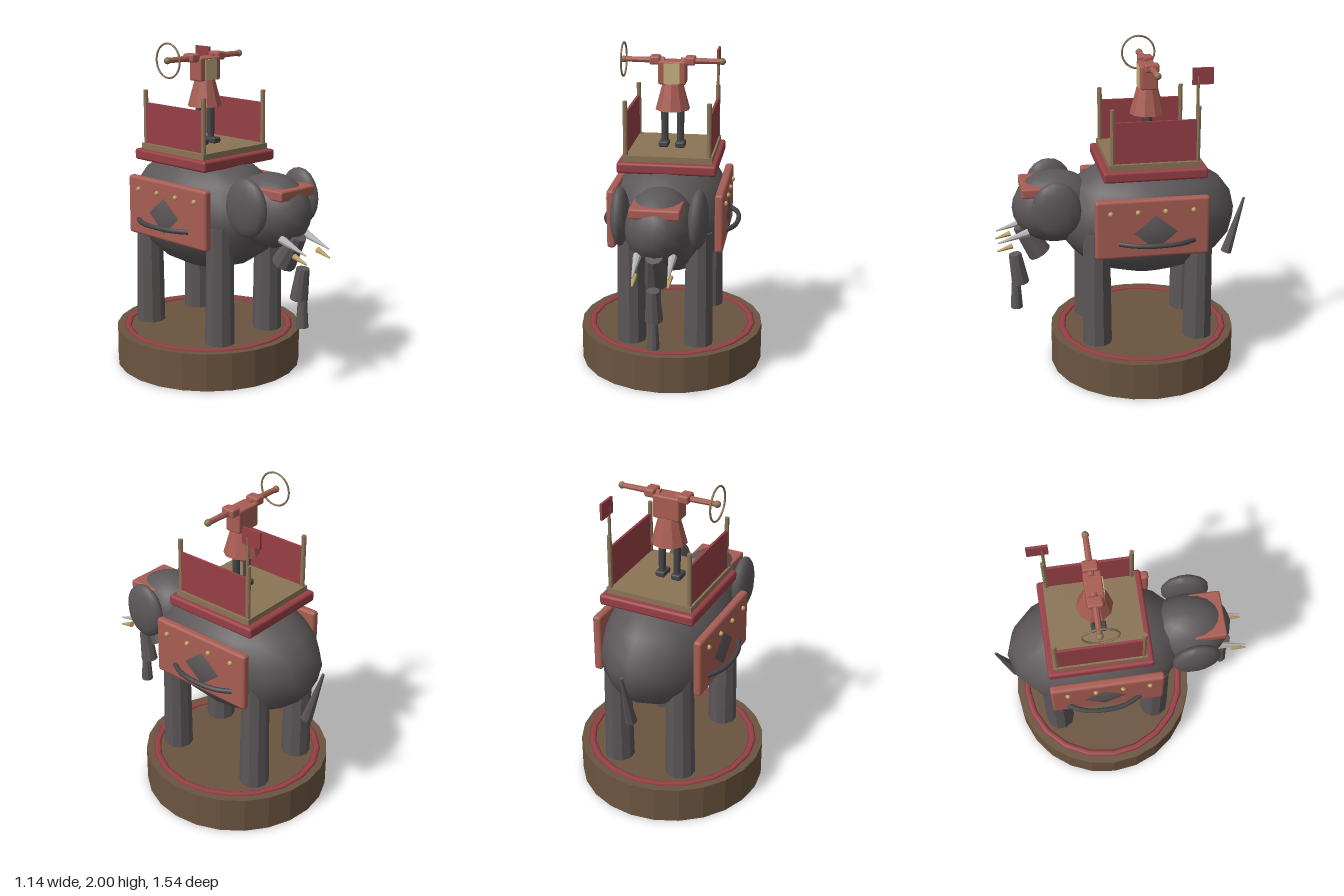
import * as THREE from 'three';
import { RoundedBoxGeometry } from 'three/addons/geometries/RoundedBoxGeometry.js';

const mat = (name, color, flatShading = false) => {
  const m = new THREE.MeshStandardMaterial({ color, flatShading });
  m.name = name;
  return m;
};

export function createModel() {
  const hide = mat('hide grey', 0x5c5758);
  const salmon = mat('salmon cloth', 0xa85d53);
  const red = mat('deep red', 0x963f45);
  const baseWood = mat('base wood', 0x6b543f);
  const paleWood = mat('pale wood', 0x8b7456);
  const dark = mat('dark iron', 0x454446);
  const silver = mat('silver', 0xb4b4b4);
  const gold = mat('gold', 0xbfa162);
  const cream = mat('cream', 0xc6b082);

  const model = new THREE.Group();
  const add = (name, geometry, material, x = 0, y = 0, z = 0) => {
    const m = new THREE.Mesh(geometry, material);
    m.name = name;
    m.position.set(x, y, z);
    model.add(m);
    return m;
  };
  const ball = (name, material, pos, radii, w = 16, h = 10) => {
    const m = add(name, new THREE.SphereGeometry(1, w, h), material, ...pos);
    m.scale.set(...radii);
    return m;
  };
  const box = (name, material, pos, size) => add(name, new THREE.BoxGeometry(...size), material, ...pos);
  const pad = (name, material, pos, size, r = 0.012) =>
    add(name, new RoundedBoxGeometry(...size, 2, r), material, ...pos);
  // Faceted tapered cylinder from point a (radius ra) to point b (radius rb)
  const rod = (name, material, a, b, ra, rb = ra, sides = 10) => {
    const A = new THREE.Vector3(...a), B = new THREE.Vector3(...b);
    const axis = A.clone().sub(B);
    const g = new THREE.CylinderGeometry(ra, rb, axis.length(), sides).toNonIndexed();
    g.computeVertexNormals();
    const m = add(name, g, material);
    m.position.copy(A).add(B).multiplyScalar(0.5);
    m.quaternion.setFromUnitVectors(new THREE.Vector3(0, 1, 0), axis.normalize());
    return m;
  };

  // Round plinth with a low inlaid ring
  rod('plinth', baseWood, [0, 0.23, -0.12], [0, 0, -0.12], 0.57, 0.57, 24);
  const ring = add('plinthRing', new THREE.TorusGeometry(0.505, 0.022, 6, 20), red, 0, 0.23, -0.12);
  ring.rotation.x = -Math.PI / 2;
  ring.scale.z = 0.4;

  // Elephant body and head
  ball('body', hide, [0, 0.975, -0.14], [0.365, 0.365, 0.55]);
  ball('head', hide, [0, 1.05, 0.41], [0.2, 0.22, 0.26], 16, 12);
  pad('foreheadPad', salmon, [0, 1.18, 0.52], [0.29, 0.06, 0.195]);

  // Trunk in three loose segments, and tail
  rod('trunkUpper', hide, [0, 0.935, 0.62], [0, 0.75, 0.51], 0.05, 0.073);
  rod('trunkMiddle', hide, [0, 0.75, 0.66], [0, 0.56, 0.632], 0.038, 0.053);
  rod('trunkTip', hide, [0, 0.56, 0.66], [0, 0.395, 0.66], 0.027, 0.037);
  rod('tail', hide, [0, 1.027, -0.757], [0, 0.675, -0.655], 0.008, 0.036, 8);

  for (const s of [1, -1]) {
    // Ears, tusks and legs
    const ear = ball('ear', hide, [s * 0.226, 1.1, 0.425], [0.056, 0.172, 0.147], 14, 10);
    ear.rotation.y = -s * 0.06;
    rod('tusk', silver, [s * 0.1, 0.865, 0.765], [s * 0.1, 0.925, 0.58], 0.004, 0.026, 8);
    rod('tuskCap', gold, [s * 0.1, 0.815, 0.77], [s * 0.1, 0.845, 0.68], 0.005, 0.018, 8);
    for (const z of [0.19, -0.43])
      rod('leg', hide, [s * 0.205, 0.945, z], [s * 0.205, 0.22, z], 0.08, 0.09);

    // Side cloth with studs and a curved handle
    pad('sideCloth', salmon, [s * 0.322, 1.0, -0.122], [0.052, 0.36, 0.675], 0.018);
    for (const z of [0.127, -0.033, -0.195, -0.36])
      ball('stud', gold, [s * 0.352, 1.105, z], [0.015, 0.015, 0.015], 10, 8);
    const handle = new THREE.CatmullRomCurve3(
      [[0.345, 0.075], [0.385, 0.0], [0.405, -0.08], [0.405, -0.22], [0.385, -0.3], [0.345, -0.37]]
        .map(([x, z]) => new THREE.Vector3(s * x, 0.915, z)));
    add('handle', new THREE.TubeGeometry(handle, 16, 0.015, 8), dark);

    // Corner posts and side walls of the howdah
    for (const z of [0.1, -0.4])
      rod('post', paleWood, [s * 0.248, 1.695, z], [s * 0.248, 1.36, z], 0.014, 0.014, 8);
    box('sideWall', red, [s * 0.25, 1.497, -0.15], [0.015, 0.245, 0.49]);
  }

  // Howdah platform and flag
  pad('saddle', red, [0, 1.303, -0.15], [0.592, 0.066, 0.615], 0.016);
  box('deck', paleWood, [0, 1.353, -0.15], [0.535, 0.036, 0.54]);
  rod('flagPole', paleWood, [0.248, 1.87, -0.393], [0.248, 1.37, -0.393], 0.009, 0.009, 8);
  box('flag', red, [0.248, 1.872, -0.42], [0.014, 0.097, 0.122]);

  // Rider with outstretched arms
  const rz = -0.145;
  for (const s of [1, -1]) {
    pad('riderBoot', dark, [s * 0.05, 1.388, rz + 0.012], [0.058, 0.036, 0.09], 0.01);
    rod('riderLeg', dark, [s * 0.048, 1.63, rz], [s * 0.048, 1.39, rz], 0.023, 0.021, 8);
    pad('shoulderPad', salmon, [s * 0.105, 1.895, rz - 0.005], [0.064, 0.05, 0.087], 0.012);
    rod('riderArm', salmon, [s * 0.295, 1.893, rz - 0.005], [s * 0.05, 1.893, rz - 0.005], 0.016, 0.019, 8);
    ball('riderHand', paleWood, [s * 0.295, 1.893, rz - 0.005], [0.021, 0.021, 0.021], 10, 8);
  }
  rod('riderSkirt', salmon, [0, 1.76, rz], [0, 1.6, rz], 0.062, 0.105);
  pad('riderTorso', salmon, [0, 1.825, rz], [0.164, 0.14, 0.1], 0.01);
  box('chestPlate', cream, [0, 1.822, rz + 0.051], [0.094, 0.124, 0.009]);

  // Hoop held in the right hand
  const hoop = add('hoop', new THREE.TorusGeometry(0.1, 0.006, 6, 28), paleWood, -0.295, 1.893, rz);
  hoop.rotation.y = Math.PI / 2;

  return model;
}
